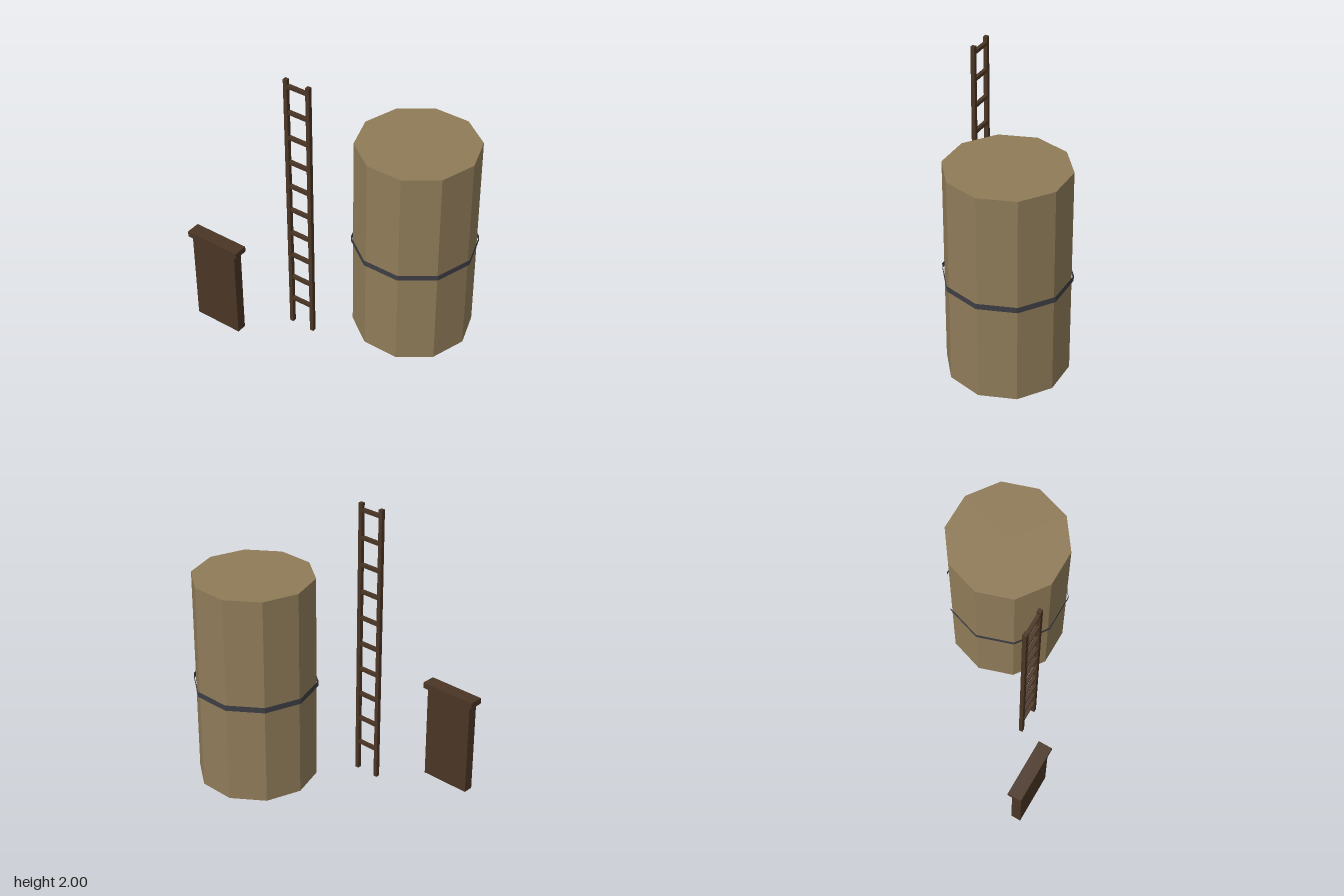
import * as THREE from 'three';

export function createModel() {
  const model = new THREE.Group();
  model.name = 'siloYard';

  const tan = new THREE.MeshStandardMaterial({ color: 0x8f7b58, flatShading: true, side: THREE.DoubleSide });
  tan.name = 'tan wall';
  const brown = new THREE.MeshStandardMaterial({ color: 0x4a3524, flatShading: true });
  brown.name = 'dark wood';
  const iron = new THREE.MeshStandardMaterial({ color: 0x3d3d45, flatShading: true, side: THREE.DoubleSide });
  iron.name = 'dark iron';

  function add(parent, name, geometry, material, x, y, z) {
    const mesh = new THREE.Mesh(geometry, material);
    mesh.name = name;
    mesh.position.set(x, y, z);
    parent.add(mesh);
    return mesh;
  }
  function group(name) {
    const g = new THREE.Group();
    g.name = name;
    model.add(g);
    return g;
  }

  // Ten-sided silo: hollow wall open at the bottom, flat lid, band without caps
  const SIDES = 10, R = 0.416, H = 1.5;
  const silo = group('silo');
  silo.position.set(0.421, 0, -0.217);
  silo.rotation.y = Math.PI / SIDES;
  add(silo, 'siloWall', new THREE.CylinderGeometry(R, R, H, SIDES, 1, true), tan, 0, H / 2, 0);
  const lid = new THREE.CircleGeometry(R, SIDES, Math.PI / 2).rotateX(-Math.PI / 2);
  add(silo, 'siloLid', lid, tan, 0, H, 0);
  add(silo, 'siloBand', new THREE.CylinderGeometry(0.43, 0.43, 0.04, SIDES, 1, true), iron, 0, 0.717, 0);

  // Ladder: two rails and ten rungs
  const ladder = group('ladder');
  ladder.position.set(-0.158, 0, 0.287);
  for (const side of [-1, 1]) {
    add(ladder, side < 0 ? 'rightRail' : 'leftRail', new THREE.BoxGeometry(0.028, 2, 0.028), brown, side * 0.086, 1, 0);
  }
  for (let i = 0; i < 10; i++) {
    add(ladder, 'rung', new THREE.BoxGeometry(0.15, 0.024, 0.024), brown, 0, 0.215 + i * 0.193, 0);
  }

  // Free-standing door with a lintel on top
  const door = group('door');
  door.position.set(-0.65, 0, 0.577);
  add(door, 'doorPanel', new THREE.BoxGeometry(0.358, 0.676, 0.07), brown, 0, 0.345, 0);
  add(door, 'lintel', new THREE.BoxGeometry(0.414, 0.042, 0.1), brown, 0, 0.704, -0.002);

  return model;
}
